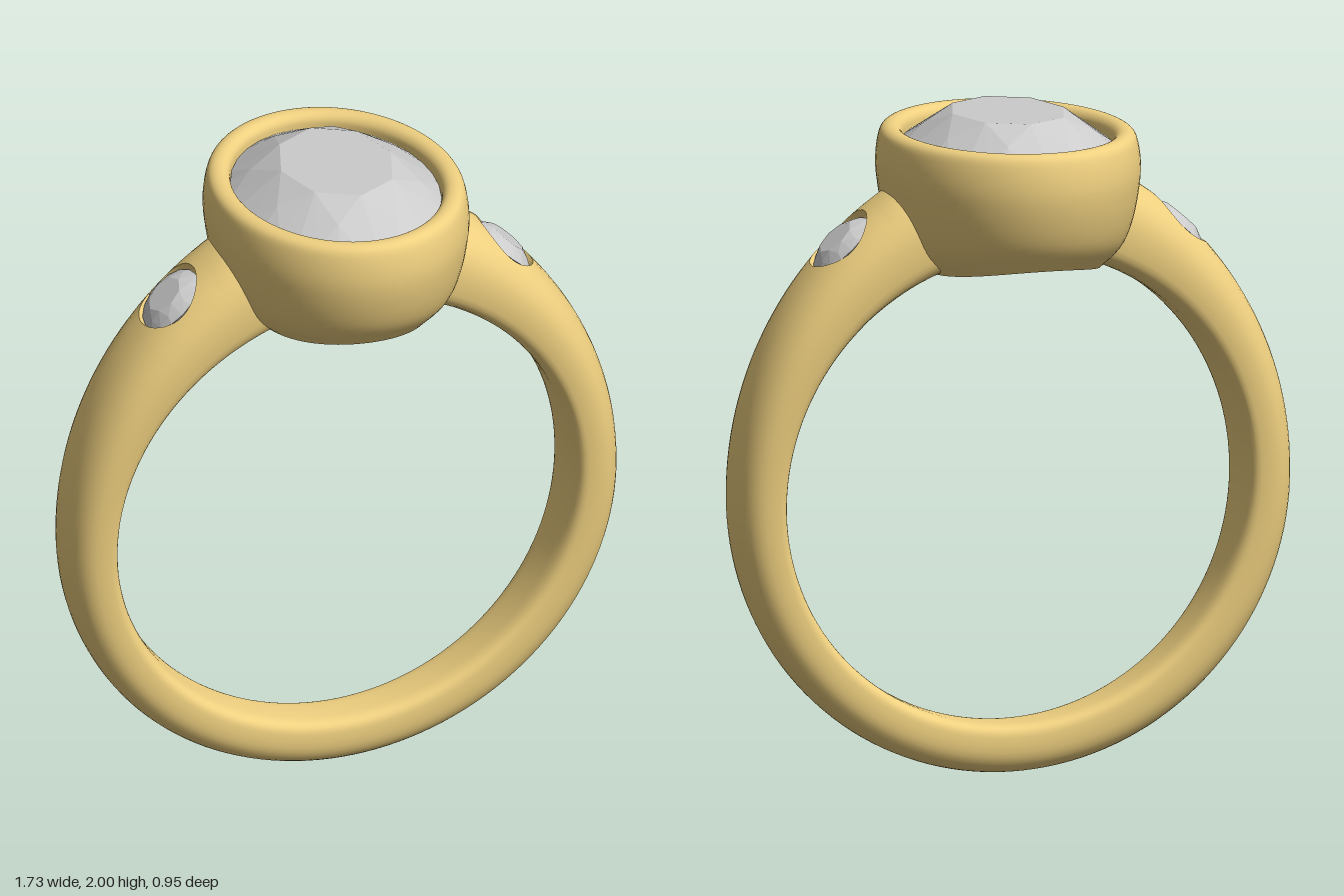
import * as THREE from 'three';
import { toCreasedNormals } from 'three/addons/utils/BufferGeometryUtils.js';
import { ConvexGeometry } from 'three/addons/geometries/ConvexGeometry.js';

const gold = new THREE.MeshStandardMaterial({ color: 0xefd080 });
const stone = new THREE.MeshStandardMaterial({ color: 0xcccccc, flatShading: true });

const CY = 0.868, R = 0.715;            // finger hole centre height and radius
const HOLE_A = 0.6, RIM = 0.11, BORE = 0.055; // shoulder stone seats
const SEAT_R = 0.922, SLOPE = 0.14;

// Collects quads into a smooth geometry with sharp creases.
function quadSoup() {
  const data = [];
  return {
    quad(a, b, c, d) { for (const p of [a, b, c, a, c, d]) data.push(p.x, p.y, p.z); },
    build(angle) {
      let g = new THREE.BufferGeometry();
      g.setAttribute('position', new THREE.Float32BufferAttribute(data, 3));
      g.scale(100, 100, 100); // finer vertex matching for the creases
      g = toCreasedNormals(g, angle);
      return g.scale(0.01, 0.01, 0.01);
    },
  };
}

// Band section at angle a from the top: half width, widest radius, heights.
function section(a) {
  const th = 0.152 + 0.085 * Math.pow(Math.max(0, Math.PI / 2 - a), 1.9);
  const w = 0.085 + 0.052 * (0.87 + 0.85 * Math.cos(a));
  return { w, rm: R + 0.4 * th, up: 0.6 * th, down: 0.4 * th };
}
const expo = (outer) => (outer ? 2.3 : 4);

// Radius of the outer or inner band surface at (a, z).
function surfaceR(a, z, outer) {
  const s = section(a), n = expo(outer);
  const k = Math.pow(Math.max(0, 1 - Math.pow(Math.abs(z) / s.w, n)), 1 / n);
  return outer ? s.rm + s.up * k : s.rm - s.down * k;
}

function sectionZ(a, j) {
  const c = Math.cos(j * Math.PI / 18), n = expo(j % 36 <= 18);
  return section(a).w * Math.sign(c) * Math.pow(Math.abs(c), 2 / n);
}

// One half of the band, with a bored seat for the shoulder stone.
function addHalfBand(soup, side) {
  const at = (a, r, z) => new THREE.Vector3(side * r * Math.sin(a), CY + r * Math.cos(a), z);
  const quad = (a, b, c, d) => (side > 0 ? soup.quad(a, b, c, d) : soup.quad(d, c, b, a));
  const angles = [];
  for (let i = 0; i < 3; i++) angles.push(0.33 + 0.04 * i);
  for (let i = 0; i < 10; i++) angles.push(0.45 + 0.03 * i);
  for (let i = 0; i <= 56; i++) angles.push(0.75 + (Math.PI - 0.75) * i / 56);
  const node = (i, j) => {
    const a = angles[i], z = sectionZ(a, j);
    return at(a, surfaceR(a, z, j % 36 <= 18), z);
  };
  const inPatch = (i, j) => i >= 3 && i < 13 && ((j >= 4 && j < 14) || (j >= 22 && j < 32));
  for (let i = 0; i < angles.length - 1; i++)
    for (let j = 0; j < 36; j++)
      if (!inPatch(i, j)) quad(node(i, j), node(i + 1, j), node(i + 1, j + 1), node(i, j + 1));

  // Blend each square gap into a round opening.
  const strip = (p, q) => p.forEach((v, m) => {
    const n = (m + 1) % p.length;
    quad(v, p[n], q[n], q[m]);
  });
  const circle = (rho, outer, radius) => Array.from({ length: 40 }, (_, m) => {
    const t = outer ? Math.PI * (0.75 - m / 20) : Math.PI * (1.25 + m / 20);
    const a = HOLE_A + rho * Math.cos(t) / 0.93, z = rho * Math.sin(t);
    return { a, z, r: radius ? radius(a, z) : surfaceR(a, z, outer) };
  });
  const toPoints = (ring) => ring.map((p) => at(p.a, p.r, p.z));
  for (const outer of [true, false]) {
    const j0 = outer ? 4 : 22, edge = [];
    for (let m = 0; m < 40; m++) {
      const k = m % 10, s = Math.floor(m / 10);
      const i = [3 + k, 13, 13 - k, 3][s], j = j0 + [0, k, 10, 10 - k][s];
      edge.push({ a: angles[i], z: sectionZ(angles[i], j) });
    }
    const rim = circle(outer ? RIM : BORE, outer);
    let last = null;
    for (let k = 0; k <= 4; k++) {
      const ring = edge.map((e, m) => {
        const a = THREE.MathUtils.lerp(e.a, rim[m].a, k / 4);
        const z = THREE.MathUtils.lerp(e.z, rim[m].z, k / 4);
        return at(a, surfaceR(a, z, outer), z);
      });
      if (last) strip(last, ring);
      last = ring;
    }
    if (!outer) continue;
    // Seat wall, cone and bore down to the inside of the band
    const tilt = (r) => (a) => r - SLOPE * (a - HOLE_A);
    const walls = [
      circle(RIM, true, tilt(SEAT_R - 0.02)),
      circle(BORE, true, tilt(0.84)),
      circle(BORE, true, (a, z) => surfaceR(a, z, false)),
    ];
    for (const wall of walls) {
      const ring = toPoints(wall);
      strip(last, ring);
      last = ring;
    }
  }
}

// Oval bezel: rings [rx, rz, y], its underside following the finger hole.
function bezelGeometry() {
  const v = (x, z, y) => new THREE.Vector3(x, z, y);
  const outside = new THREE.CatmullRomCurve3([
    v(0.262, 0.37, 1.583), v(0.335, 0.43, 1.66), v(0.373, 0.463, 1.75), v(0.385, 0.475, 1.83),
    v(0.38, 0.468, 1.9), v(0.369, 0.455, 1.937), v(0.35, 0.435, 1.95), v(0.322, 0.406, 1.947),
    v(0.307, 0.392, 1.93), v(0.303, 0.39, 1.9),
  ]).getPoints(45);
  const underside = [0, 0.25, 0.5, 0.75].map((t) => v(0.12, 0.16, 1.583).lerp(outside[0], t));
  const profile = [...underside, ...outside, v(0.12, 0.16, 1.69), underside[0]];
  const N = 72;
  const rings = profile.map((p) => Array.from({ length: N }, (_, i) => {
    const t = i / N * Math.PI * 2, x = p.x * Math.cos(t);
    const drop = Math.sqrt(R * R - x * x) - R;
    const y = p.z + drop * Math.max(0, 1 - (p.z - 1.583) / 0.2);
    return new THREE.Vector3(x, y, -p.y * Math.sin(t));
  }));
  const soup = quadSoup();
  for (let j = 0; j < rings.length - 1; j++)
    for (let i = 0; i < N; i++) {
      const n = (i + 1) % N;
      soup.quad(rings[j][i], rings[j][n], rings[j + 1][n], rings[j + 1][i]);
    }
  return soup.build(0.6);
}

// Brilliant-cut stone with its girdle at y = 0.
function gemGeometry(rx, rz, crown, pavilion, girdle) {
  const pts = [new THREE.Vector3(0, -pavilion, 0)];
  const ring = (n, scale, y, offset) => {
    for (let i = 0; i < n; i++) {
      const t = (i + offset) / n * Math.PI * 2;
      pts.push(new THREE.Vector3(rx * scale * Math.cos(t), y, rz * scale * Math.sin(t)));
    }
  };
  ring(8, 0.57, crown, 0);
  ring(8, 0.81, crown * 0.5, 0.5);
  ring(girdle, 1, 0, 0);
  ring(8, 0.55, -pavilion * 0.52, 0.5);
  return new ConvexGeometry(pts);
}

export function createModel() {
  const ring = new THREE.Group();
  ring.name = 'ring';
  const add = (name, geometry, material) => {
    const mesh = new THREE.Mesh(geometry, material);
    mesh.name = name;
    ring.add(mesh);
    return mesh;
  };

  const band = quadSoup();
  for (const side of [1, -1]) addHalfBand(band, side);
  add('band', band.build(0.7), gold);

  add('bezel', bezelGeometry(), gold);
  add('centreStone', gemGeometry(0.303, 0.39, 0.095, 0.28, 32), stone).position.y = 1.905;

  // Shoulder stones
  const small = gemGeometry(0.107, 0.107, 0.028, 0.09, 16);
  for (const side of [1, -1]) {
    const gem = add(side > 0 ? 'leftShoulderStone' : 'rightShoulderStone', small, stone);
    gem.position.set(side * SEAT_R * Math.sin(HOLE_A), CY + SEAT_R * Math.cos(HOLE_A), 0);
    gem.rotation.z = -side * 0.74;
  }
  return ring;
}
